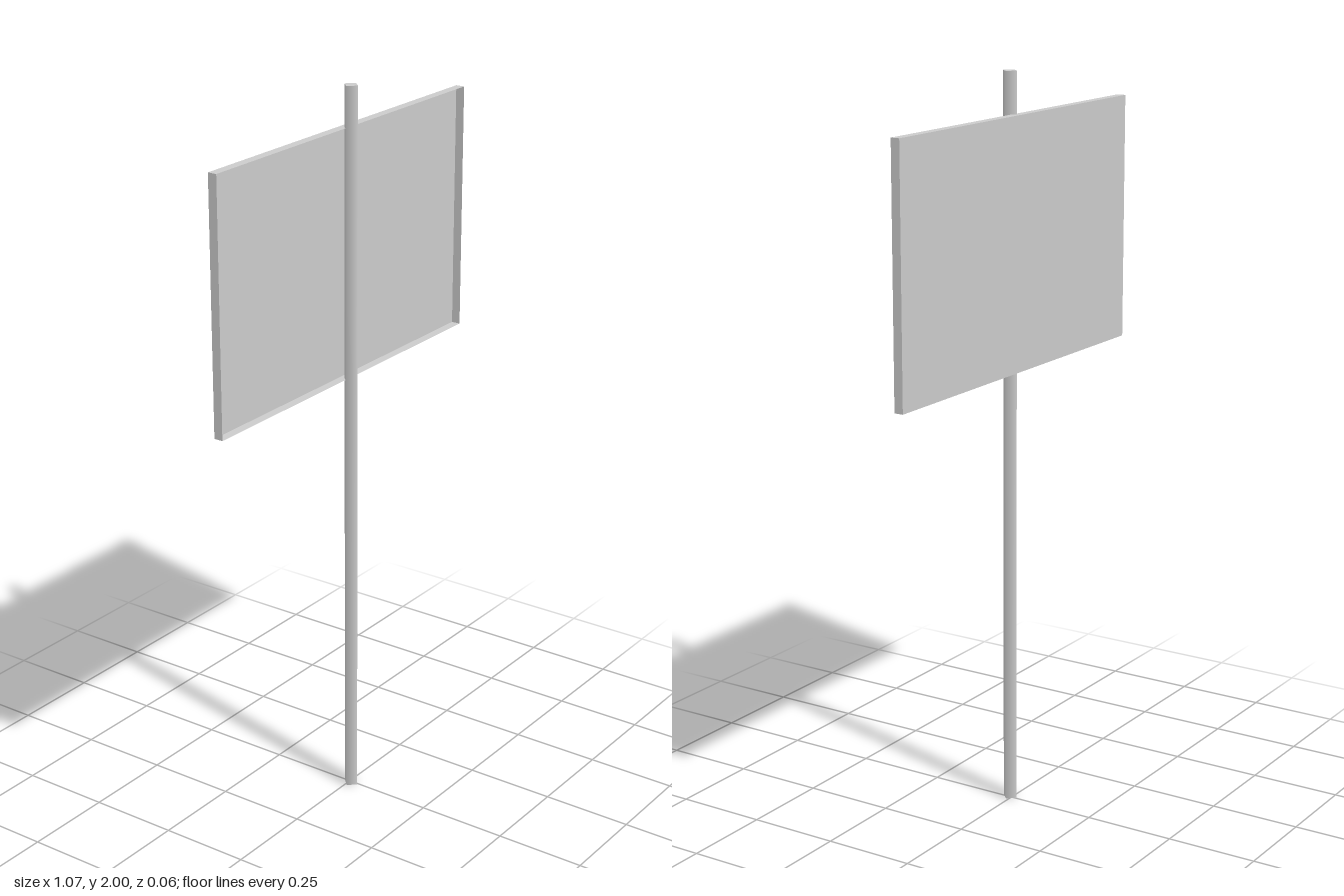
import * as THREE from 'three';

const material = new THREE.MeshStandardMaterial({ color: 0xcccccc, side: THREE.DoubleSide });

function addPart(group, name, geometry, x, y, z) {
  const mesh = new THREE.Mesh(geometry, material);
  mesh.name = name;
  mesh.position.set(x, y, z);
  group.add(mesh);
  return mesh;
}

// Shallow box without its +z face
function openTray(w, h, d) {
  const geometry = new THREE.BoxGeometry(w, h, d);
  const index = Array.from(geometry.index.array);
  index.splice(24, 6);
  geometry.setIndex(index);
  geometry.clearGroups();
  return geometry;
}

export function createModel() {
  const sign = new THREE.Group();
  sign.name = 'signpost';

  // Four-sided post, corner facing forward, open at the foot
  const radius = 0.021, height = 2, postX = -0.004, postZ = 0.007;
  addPart(sign, 'post', new THREE.CylinderGeometry(radius, radius, height, 4, 1, true), postX, height / 2, postZ);
  addPart(sign, 'postCap', new THREE.CircleGeometry(radius, 4).rotateX(-Math.PI / 2), postX, height, postZ);

  // Sign panel: folded sheet, hollow towards the post
  addPart(sign, 'signPanel', openTray(1.066, 0.674, 0.025), 0, 1.552, -0.0155);

  return sign;
}
